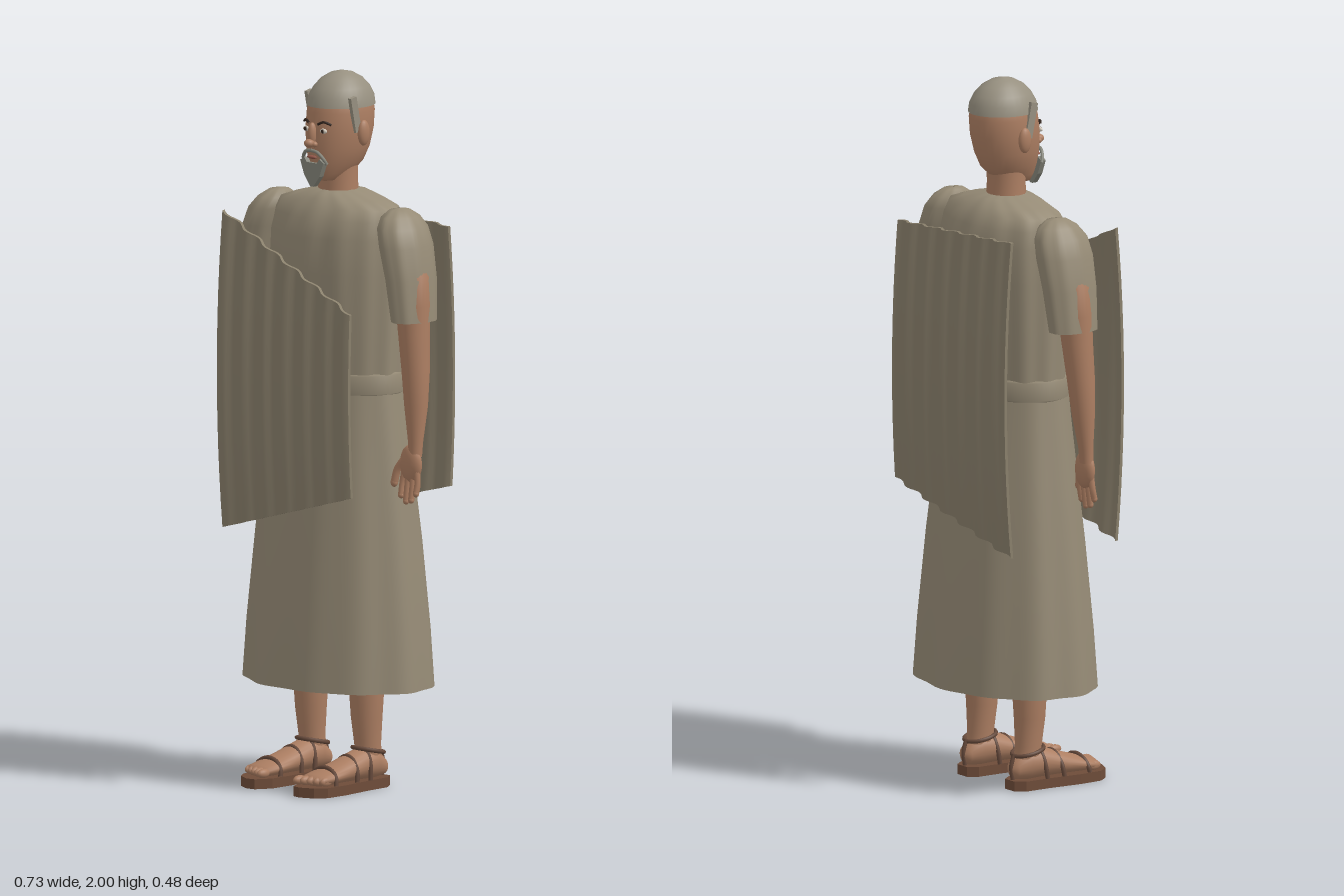
import * as THREE from 'three';

const mat = (name, color, side = THREE.FrontSide) => {
  const m = new THREE.MeshStandardMaterial({ color, side });
  m.name = name;
  return m;
};

// Smooth skin over horizontal elliptical sections [y, rx, rz, cx, cz], listed upwards.
// fold(angle, t) scales the radius to make drapery.
function loft(sections, n = 24, fold = () => 1) {
  const pos = [], idx = [];
  sections.forEach(([y, rx, rz, cx = 0, cz = 0], r) => {
    for (let i = 0; i < n; i++) {
      const a = (i / n) * Math.PI * 2;
      const f = fold(a, r / (sections.length - 1));
      pos.push(cx + Math.cos(a) * rx * f, y, cz + Math.sin(a) * rz * f);
      if (r < sections.length - 1) {
        const p = r * n + i, q = r * n + ((i + 1) % n);
        idx.push(p, p + n, q, q, p + n, q + n);
      }
    }
  });
  const g = new THREE.BufferGeometry();
  g.setAttribute('position', new THREE.Float32BufferAttribute(pos, 3));
  g.setIndex(idx);
  g.computeVertexNormals();
  return g;
}

export function createModel() {
  const model = new THREE.Group();
  const robe = mat('robe cloth', 0x968b76, THREE.DoubleSide);
  const shawl = mat('shawl cloth', 0x8a806c, THREE.DoubleSide);
  const skin = mat('skin', 0xac7e62);
  const hair = mat('hair', 0x979080, THREE.DoubleSide);
  const beardGrey = mat('beard', 0x85857a, THREE.DoubleSide);
  const leather = mat('sole leather', 0x6e4c39);
  const strapMat = mat('strap leather', 0x64483a);
  const eyeWhite = mat('eye white', 0xd8d0c2);
  const dark = mat('dark brown', 0x33261f);
  const lip = mat('lip', 0x8f5548);

  const add = (name, geo, material, parent = model) => {
    const m = new THREE.Mesh(geo, material);
    m.name = name;
    parent.add(m);
    return m;
  };
  const ball = (name, material, p, s, parent) => {
    const m = add(name, new THREE.SphereGeometry(1, 16, 12), material, parent);
    m.position.set(...p);
    m.scale.set(...s);
    return m;
  };
  const tube = (name, material, pts, r, closed = false, parent = model) =>
    add(name, new THREE.TubeGeometry(
      new THREE.CatmullRomCurve3(pts.map(p => new THREE.Vector3(...p)), closed), 24, r, 8, closed), material, parent);

  // Robe: skirt open at the hem, bodice and belt
  const skirtFold = (a, t) => 1 + (1 - t * 0.7) * (0.015 * Math.sin(a * 11) + 0.01 * Math.sin(a * 7 + 1));
  add('skirt', loft([
    [0.29, 0.305, 0.222, 0, -0.015], [0.45, 0.295, 0.21, 0, -0.015], [0.7, 0.27, 0.187, 0, -0.015],
    [0.9, 0.245, 0.165, 0, -0.014], [1.05, 0.226, 0.147, 0, -0.012], [1.14, 0.215, 0.138, 0, -0.01],
  ], 88, skirtFold), robe);
  const bodiceFold = a => 1 + 0.014 * Math.sin(a * 14) + 0.008 * Math.sin(a * 9);
  add('bodice', loft([
    [1.14, 0.213, 0.138, 0, -0.012], [1.28, 0.22, 0.147, 0, -0.013], [1.45, 0.226, 0.153, 0, -0.015],
    [1.55, 0.224, 0.148, 0, -0.017], [1.6, 0.217, 0.132, 0, -0.018], [1.63, 0.205, 0.113, 0, -0.019],
    [1.65, 0.145, 0.095, 0, -0.018], [1.665, 0.085, 0.075, 0, -0.016], [1.672, 0.055, 0.05, 0, -0.014],
  ], 88, bodiceFold), robe);
  add('belt', loft([
    [1.115, 0.216, 0.138, 0, -0.012], [1.12, 0.224, 0.147, 0, -0.012],
    [1.17, 0.222, 0.146, 0, -0.012], [1.176, 0.21, 0.136, 0, -0.012],
  ], 64), robe);
  const tail = add('belt tail', new THREE.BoxGeometry(0.04, 0.25, 0.006), robe);
  tail.position.set(0.03, 1.03, 0.153);
  tail.rotation.x = -0.09;

  // Pleated shawl panels; edges slope from the right side (-x) to the left (+x)
  const panel = (name, z0, dir, topR, topL, lowR, lowL) => {
    const g = new THREE.BoxGeometry(1, 1, 0.009, 56, 12, 1);
    const p = g.attributes.position;
    for (let i = 0; i < p.count; i++) {
      const u = p.getX(i) + 0.5, v = p.getY(i) + 0.5;
      const y = THREE.MathUtils.lerp(
        THREE.MathUtils.lerp(lowR, lowL, u), THREE.MathUtils.lerp(topR, topL, u), v);
      const bow = 0.022 * (1 - ((y - 1.15) / 0.45) ** 2);
      const wave = 0.008 * Math.sin(u * Math.PI * 13);
      p.setXYZ(i, -0.273 + u * 0.523, y, z0 + dir * bow + wave + p.getZ(i));
    }
    g.computeVertexNormals();
    add(name, g, shawl);
  };
  panel('front shawl', 0.165, 1, 1.595, 1.365, 0.705, 0.85);
  panel('back shawl', -0.194, -1, 1.6, 1.57, 0.705, 0.84);

  // Neck and head
  add('neck', loft([[1.64, 0.06, 0.055, 0, -0.013], [1.7, 0.056, 0.053, 0, -0.012],
    [1.76, 0.057, 0.055, 0, -0.012]], 24), skin);
  add('head', loft([
    [1.695, 0.004, 0.01, 0, 0.03], [1.7, 0.03, 0.035, 0, 0.03], [1.72, 0.048, 0.066, 0, 0.008],
    [1.75, 0.066, 0.085, 0, -0.004], [1.79, 0.081, 0.095, 0, -0.011], [1.84, 0.088, 0.101, 0, -0.017],
    [1.89, 0.088, 0.1, 0, -0.022], [1.93, 0.08, 0.09, 0, -0.024], [1.97, 0.055, 0.063, 0, -0.025],
    [1.99, 0.002, 0.002, 0, -0.025],
  ], 32), skin);
  add('hair cap', loft([
    [1.905, 0.09, 0.101, 0, -0.023], [1.93, 0.086, 0.097, 0, -0.024], [1.955, 0.073, 0.084, 0, -0.025],
    [1.978, 0.054, 0.062, 0, -0.025], [1.993, 0.03, 0.034, 0, -0.025], [2.0, 0.001, 0.001, 0, -0.025],
  ], 32), hair);

  // Face
  ball('nose bridge', skin, [0, 1.833, 0.088], [0.011, 0.032, 0.014]);
  ball('nose tip', skin, [0, 1.808, 0.1], [0.014, 0.012, 0.015]);
  ball('mouth', lip, [0, 1.768, 0.089], [0.018, 0.005, 0.008]);
  const beardShape = new THREE.Shape([[-0.046, 1.755], [-0.03, 1.765], [-0.02, 1.752], [0.02, 1.752],
    [0.03, 1.765], [0.046, 1.755], [0.03, 1.715], [0.006, 1.685], [-0.006, 1.685], [-0.03, 1.715]]
    .map(p => new THREE.Vector2(...p)));
  const beard = add('beard', new THREE.ExtrudeGeometry(beardShape, { depth: 0.016, bevelEnabled: false }), beardGrey);
  beard.position.z = 0.074;

  for (const s of [1, -1]) {
    const side = s > 0 ? 'left' : 'right';
    const arm = new THREE.Group(), leg = new THREE.Group();
    arm.name = side + ' arm';
    leg.name = side + ' leg';
    model.add(arm, leg);

    // Eyes, brows, moustache, ear and sideburn
    ball(side + ' eye', eyeWhite, [s * 0.034, 1.843, 0.077], [0.013, 0.007, 0.006]);
    ball(side + ' pupil', dark, [s * 0.034, 1.843, 0.081], [0.006, 0.006, 0.004]);
    tube(side + ' eyebrow', dark, [[s * 0.017, 1.861, 0.083], [s * 0.035, 1.868, 0.078], [s * 0.054, 1.861, 0.066]], 0.0035);
    ball(side + ' nostril', skin, [s * 0.012, 1.805, 0.091], [0.009, 0.008, 0.009]);
    tube(side + ' moustache', beardGrey, [[0, 1.787, 0.092], [s * 0.022, 1.783, 0.09], [s * 0.04, 1.765, 0.083], [s * 0.046, 1.75, 0.076]], 0.005);
    ball(side + ' ear', skin, [s * 0.095, 1.835, -0.018], [0.013, 0.036, 0.02]);
    const burn = add(side + ' sideburn', new THREE.BoxGeometry(0.012, 0.1, 0.022), hair);
    burn.position.set(s * 0.087, 1.888, 0.008);
    burn.rotation.x = 0.2;

    // Sleeve and arm
    const sleeveFold = a => 1 + 0.02 * Math.sin(a * 9);
    add('sleeve', loft([
      [1.335, 0.05, 0.074, s * 0.307, -0.008], [1.45, 0.056, 0.082, s * 0.293, -0.01],
      [1.54, 0.061, 0.086, s * 0.272, -0.012], [1.59, 0.058, 0.08, s * 0.256, -0.013],
      [1.62, 0.046, 0.06, s * 0.245, -0.015], [1.638, 0.025, 0.032, s * 0.24, -0.016],
      [1.642, 0.002, 0.002, s * 0.238, -0.017],
    ], 48, sleeveFold), robe, arm);
    add('arm', loft([
      [0.96, 0.021, 0.018, s * 0.335, 0.016], [1.0, 0.022, 0.02, s * 0.335, 0.014],
      [1.1, 0.034, 0.032, s * 0.331, 0.008], [1.2, 0.04, 0.039, s * 0.325, 0.004],
      [1.3, 0.044, 0.044, s * 0.314, 0], [1.38, 0.051, 0.047, s * 0.307, -0.003],
      [1.46, 0.051, 0.047, s * 0.3, -0.006], [1.56, 0.035, 0.04, s * 0.27, -0.01],
    ], 24), skin, arm);

    // Hand with fingers and thumb
    ball('palm', skin, [s * 0.323, 0.938, 0.02], [0.039, 0.054, 0.02], arm);
    [[0.294, 0.84], [0.314, 0.825], [0.334, 0.83], [0.353, 0.85]].forEach(([x, y], i) => {
      tube('finger', skin, [[s * (0.3 + i * 0.016), 0.925, 0.022], [s * x, 0.885, 0.024], [s * x, y + 0.008, 0.03]], 0.0088, false, arm);
      ball('fingertip', skin, [s * x, y + 0.008, 0.03], [0.0088, 0.0095, 0.0088], arm);
    });
    tube('thumb', skin, [[s * 0.305, 0.955, 0.024], [s * 0.282, 0.92, 0.032], [s * 0.273, 0.882, 0.036]], 0.0105, false, arm);
    ball('thumb tip', skin, [s * 0.273, 0.882, 0.036], [0.0105, 0.013, 0.0105], arm);

    // Leg and foot
    const cx = s * 0.111;
    add('shin', loft([
      [0.06, 0.036, 0.04, cx, -0.025], [0.12, 0.036, 0.038, cx, -0.018], [0.2, 0.044, 0.044, cx, -0.014],
      [0.3, 0.051, 0.05, cx, -0.014], [0.5, 0.056, 0.055, cx, -0.012], [0.62, 0.05, 0.05, cx, -0.012],
    ], 24), skin, leg);
    const foot = add('foot', loft([
      [-0.078, 0.004, 0.004, cx, -0.055], [-0.068, 0.03, 0.026, cx, -0.056], [-0.03, 0.041, 0.046, cx, -0.07],
      [0.02, 0.043, 0.043, cx, -0.069], [0.09, 0.048, 0.031, cx, -0.057], [0.15, 0.052, 0.022, cx, -0.048],
      [0.19, 0.048, 0.017, cx, -0.043], [0.205, 0.004, 0.004, cx, -0.042],
    ], 24), skin, leg);
    foot.rotation.x = Math.PI / 2;
    for (let i = 0; i < 5; i++)
      ball('toe', skin, [cx + s * (i - 2) * 0.0195, 0.042, 0.207 - i * 0.007],
        [0.0125 - i * 0.0008, 0.013, 0.022], leg);

    // Sandal
    const sole = new THREE.Shape([[-0.058, 0.19], [-0.035, 0.222], [0.006, 0.24], [0.034, 0.235], [0.058, 0.19],
      [0.058, 0.12], [0.046, 0.02], [0.042, -0.055], [0.022, -0.082], [-0.022, -0.082], [-0.042, -0.055], [-0.046, 0.02], [-0.058, 0.12]]
      .map(([x, z]) => new THREE.Vector2(cx - s * x, z)));
    const soleMesh = add('sandal sole', new THREE.ExtrudeGeometry(sole, { depth: 0.028, bevelEnabled: false }), leather, leg);
    soleMesh.rotation.x = Math.PI / 2;
    soleMesh.position.y = 0.028;
    for (const [z, w, h] of [[0.155, 0.054, 0.074], [0.07, 0.05, 0.096], [0.015, 0.046, 0.115]]) {
      const pts = [];
      for (let i = 0; i <= 8; i++) {
        const a = (i / 8) * Math.PI;
        pts.push([cx + Math.cos(a) * w, 0.028 + Math.sin(a) * (h - 0.028), z - Math.sin(a) * 0.01]);
      }
      tube('sandal strap', strapMat, pts, 0.0065, false, leg);
    }
    const ankle = [];
    for (let i = 0; i < 8; i++) {
      const a = (i / 8) * Math.PI * 2;
      ankle.push([cx + Math.cos(a) * 0.041, 0.105 + Math.sin(a) * 0.01, -0.02 + Math.sin(a) * 0.046]);
    }
    tube('ankle strap', strapMat, ankle, 0.006, true, leg);
    tube('heel strap', strapMat, [[cx, 0.028, -0.072], [cx, 0.065, -0.077], [cx, 0.1, -0.068]], 0.006, false, leg);
  }
  return model;
}
